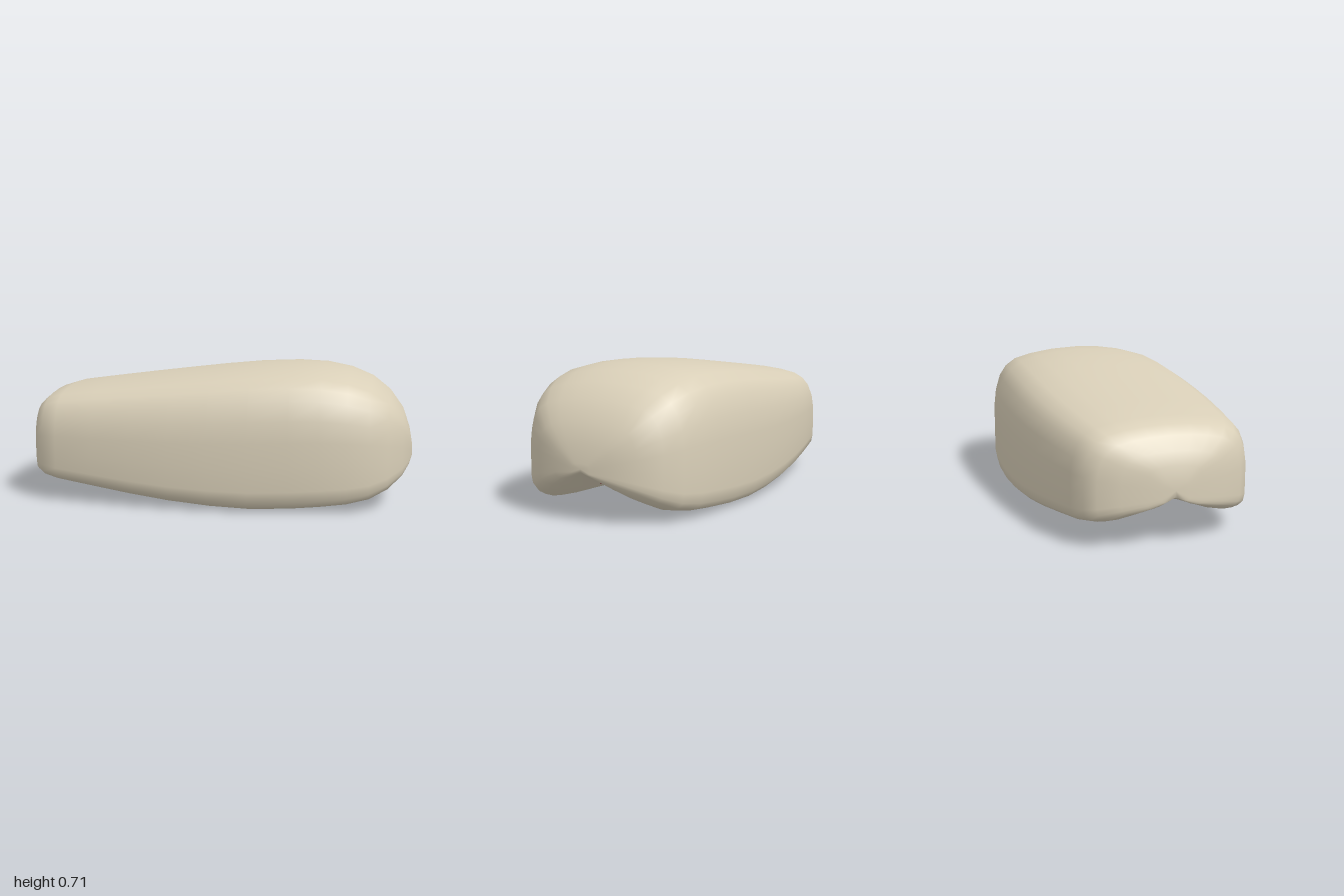
import * as THREE from 'three';

// Stations along the length: x, half width, top height, bottom height
const stations = [
  [-1, 0.07, 0.32, 0.22], [-0.99, 0.14, 0.385, 0.195], [-0.97, 0.25, 0.445, 0.17], [-0.93, 0.35, 0.51, 0.14],
  [-0.88, 0.4, 0.55, 0.12], [-0.8, 0.435, 0.575, 0.105], [-0.6, 0.468, 0.602, 0.078], [-0.4, 0.494, 0.628, 0.05],
  [-0.2, 0.51, 0.653, 0.025], [0, 0.517, 0.677, 0.008], [0.2, 0.515, 0.697, 0], [0.4, 0.505, 0.706, 0.008],
  [0.55, 0.487, 0.7, 0.02], [0.68, 0.46, 0.675, 0.033], [0.79, 0.42, 0.63, 0.056], [0.88, 0.363, 0.56, 0.1],
  [0.95, 0.265, 0.465, 0.155], [0.985, 0.15, 0.365, 0.2], [1, 0.05, 0.28, 0.23],
];

// Half cross-section from top centre to the raised underside ridge:
// fraction of half width, fraction of height
const half = [
  [0, 1], [0.29, 0.99], [0.52, 0.965], [0.72, 0.925], [0.84, 0.865], [0.92, 0.78], [0.975, 0.65], [1, 0.5],
  [1, 0.32], [1, 0.15], [0.98, 0.07], [0.92, 0.025], [0.83, 0.005], [0.72, 0], [0.52, 0.037], [0.29, 0.112],
  [0.1, 0.18], [0, 0.2],
];
const profile = [...half, ...half.slice(1, -1).reverse().map(([u, v]) => [-u, v])];

function geometryFrom(positions, index) {
  const g = new THREE.BufferGeometry();
  g.setAttribute('position', new THREE.Float32BufferAttribute(positions, 3));
  g.setIndex(index);
  g.computeVertexNormals();
  return g;
}

// Skin a row of sections, each with n points
function skin(index, rows, n, closed) {
  for (let i = 0; i < rows - 1; i++) {
    for (let j = 0; j < (closed ? n : n - 1); j++) {
      const a = i * n + j, b = i * n + ((j + 1) % n);
      index.push(a, b, a + n, b, b + n, a + n);
    }
  }
}

function bodyGeometry() {
  const positions = [], index = [], n = profile.length;
  for (const [x, w, top, bottom] of stations) {
    for (const [u, v] of profile) positions.push(x, bottom + v * (top - bottom), u * w);
  }
  skin(index, stations.length, n, true);
  // close both ends
  const last = (stations.length - 1) * n, c = stations.length * n;
  positions.push(-1, 0.27, 0, 1, 0.255, 0);
  for (let j = 0; j < n; j++) {
    const k = (j + 1) % n;
    index.push(c, k, j, c + 1, last + j, last + k);
  }
  return geometryFrom(positions, index);
}

// Height of the underside near its central ridge
function underside(x, z) {
  const i = Math.max(1, stations.findIndex((s) => s[0] >= x));
  const a = stations[i - 1], b = stations[i], t = (x - a[0]) / (b[0] - a[0]);
  const [w, top, bottom] = [1, 2, 3].map((k) => THREE.MathUtils.lerp(a[k], b[k], t));
  return bottom + (top - bottom) * (0.2 - 0.31 * Math.abs(z) / w);
}

// Jagged strip that just shows along the ridge: x, edge towards -z, edge towards +z
function stripGeometry() {
  const edges = [
    [-0.26, -0.05, 0.05], [-0.22, -0.06, 0.08], [-0.02, -0.1, 0.05], [0.2, -0.06, 0.09],
    [0.42, -0.1, 0.05], [0.6, -0.07, 0.09], [0.76, -0.08, 0.05], [0.8, -0.03, 0.03],
  ];
  const positions = [], index = [];
  edges.forEach(([x, back, front], i) => {
    const drop = i === 0 || i === edges.length - 1 ? -0.03 : 0.013;
    positions.push(x, underside(x, back) + 0.03, back);
    for (const z of [back, 0, front]) positions.push(x, underside(x, z) - drop, z);
    positions.push(x, underside(x, front) + 0.03, front);
  });
  skin(index, edges.length, 5, false);
  return geometryFrom(positions, index);
}

export function createModel() {
  const group = new THREE.Group();
  group.name = 'roundedBlock';

  const body = new THREE.Mesh(bodyGeometry(), new THREE.MeshStandardMaterial({ color: 0xd9cfb8 }));
  body.name = 'body';

  const strip = new THREE.Mesh(
    stripGeometry(),
    new THREE.MeshStandardMaterial({ color: 0xb0776c, flatShading: true, side: THREE.DoubleSide }),
  );
  strip.name = 'undersideStrip';

  group.add(body, strip);
  return group;
}
